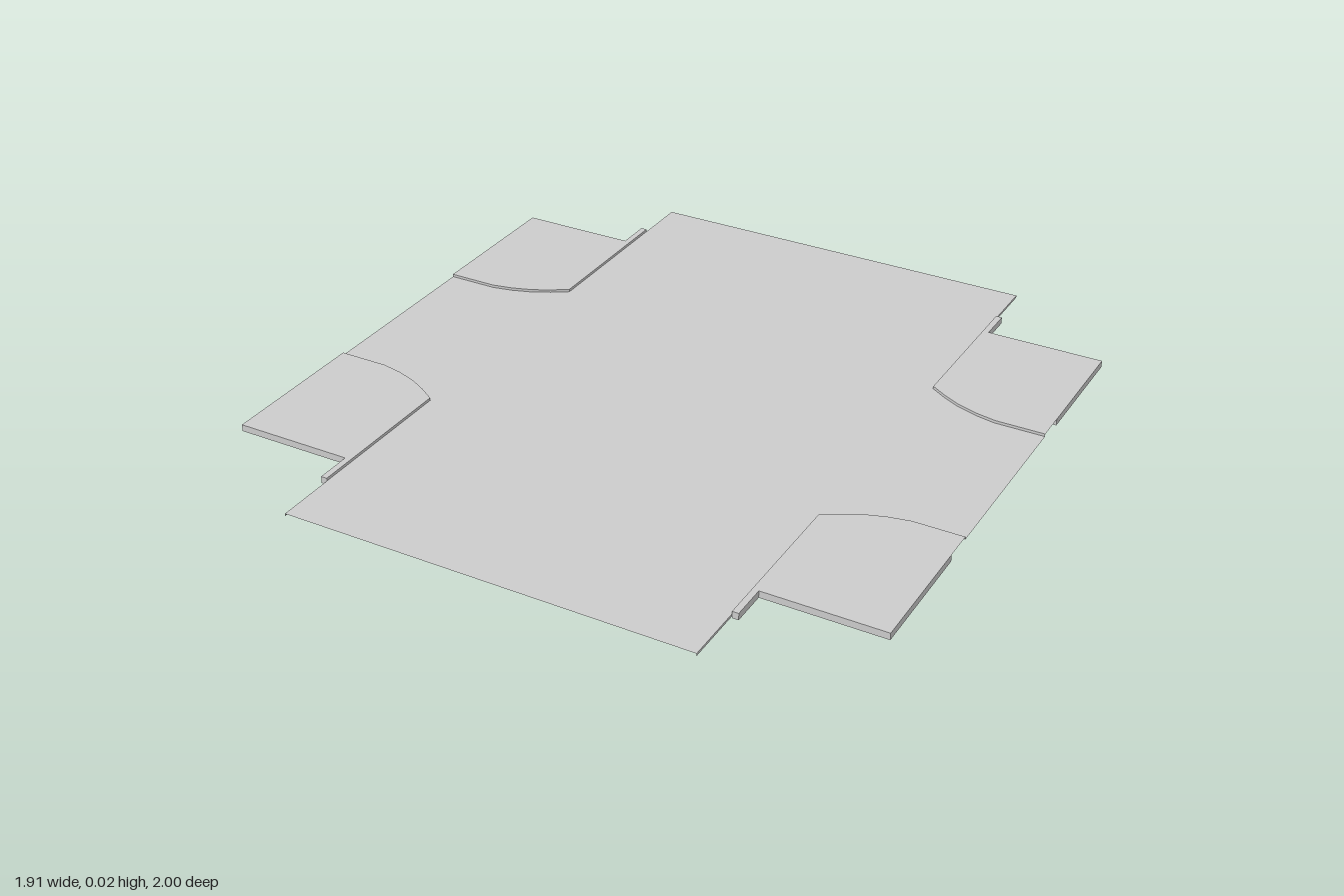
import * as THREE from 'three';

const ROAD_Y = 0.012, TOP_Y = 0.02, SHIFT = -0.005;
const RX = 0.593, EX = 0.955; // half width of the long road, outer end of the cross road

const material = new THREE.MeshStandardMaterial({
  color: 0xcccccc, flatShading: true, side: THREE.DoubleSide,
});

function part(name, geometry) {
  const mesh = new THREE.Mesh(geometry, material);
  mesh.name = name;
  return mesh;
}

// Horizontal sheet from [x, z] points at height y
function sheet(points, y) {
  const shape = new THREE.Shape(points.map(([x, z]) => new THREE.Vector2(x, -z)));
  return new THREE.ShapeGeometry(shape).rotateX(-Math.PI / 2).translate(0, y, 0);
}

// Vertical strip standing along [x, z] points
function wall(points, y0, y1) {
  const position = [], index = [];
  points.forEach(([x, z], i) => {
    position.push(x, y0, z, x, y1, z);
    if (i > 0) {
      const a = 2 * i - 2;
      index.push(a, a + 2, a + 3, a, a + 3, a + 1);
    }
  });
  const g = new THREE.BufferGeometry();
  g.setAttribute('position', new THREE.Float32BufferAttribute(position, 3));
  g.setIndex(index);
  const flat = g.toNonIndexed();
  flat.computeVertexNormals();
  return flat;
}

// Rounded kerb line, from the cross road's end to the long road's side
const curve = [[EX, 0.277], [0.81, 0.277], [0.75, 0.289], [0.69, 0.309], [0.64, 0.335], [RX, 0.365]];
// Deep part of the pavement, with the narrow kerb running on past it
const block = [[RX, 0.365], [RX, 0.831], [0.611, 0.831], [0.611, 0.728], [EX, 0.728], [EX, 0.365]];

export function createModel() {
  const model = new THREE.Group();
  model.name = 'crossroads';
  const place = (pts, sx, sz) => pts.map(([x, z]) => [x * sx, z * sz + SHIFT]);

  // Road surface: a cross with rounded inner corners
  const arm = [...curve, [RX, 1 - SHIFT]];
  const outline = [];
  for (const [sx, sz] of [[1, 1], [-1, 1], [-1, -1], [1, -1]]) {
    const pts = place(arm, sx, sz).map(([x, z]) => [x, THREE.MathUtils.clamp(z, -1, 1)]);
    outline.push(...(sx * sz > 0 ? pts : pts.reverse()));
  }
  model.add(part('road', sheet(outline, ROAD_Y)));

  // Four pavement corners, open underneath
  for (const sx of [1, -1]) for (const sz of [1, -1]) {
    const corner = new THREE.Group();
    corner.name = (sz > 0 ? 'front' : 'back') + (sx > 0 ? 'Left' : 'Right') + 'Pavement';
    corner.add(
      part('pavementTop', sheet(place([...curve, ...block.slice(1, 5)], sx, sz), TOP_Y)),
      part('pavementWalls', wall(place([...block, block[0]], sx, sz), 0, TOP_Y)),
      part('curvedKerb', wall(place(curve, sx, sz), ROAD_Y, TOP_Y)),
      // Thin edge of the road beyond the kerb
      part('roadEdge', wall([[RX * sx, 0.831 * sz + SHIFT], [RX * sx, sz]], 0.005, ROAD_Y)),
    );
    model.add(corner);
  }
  return model;
}
